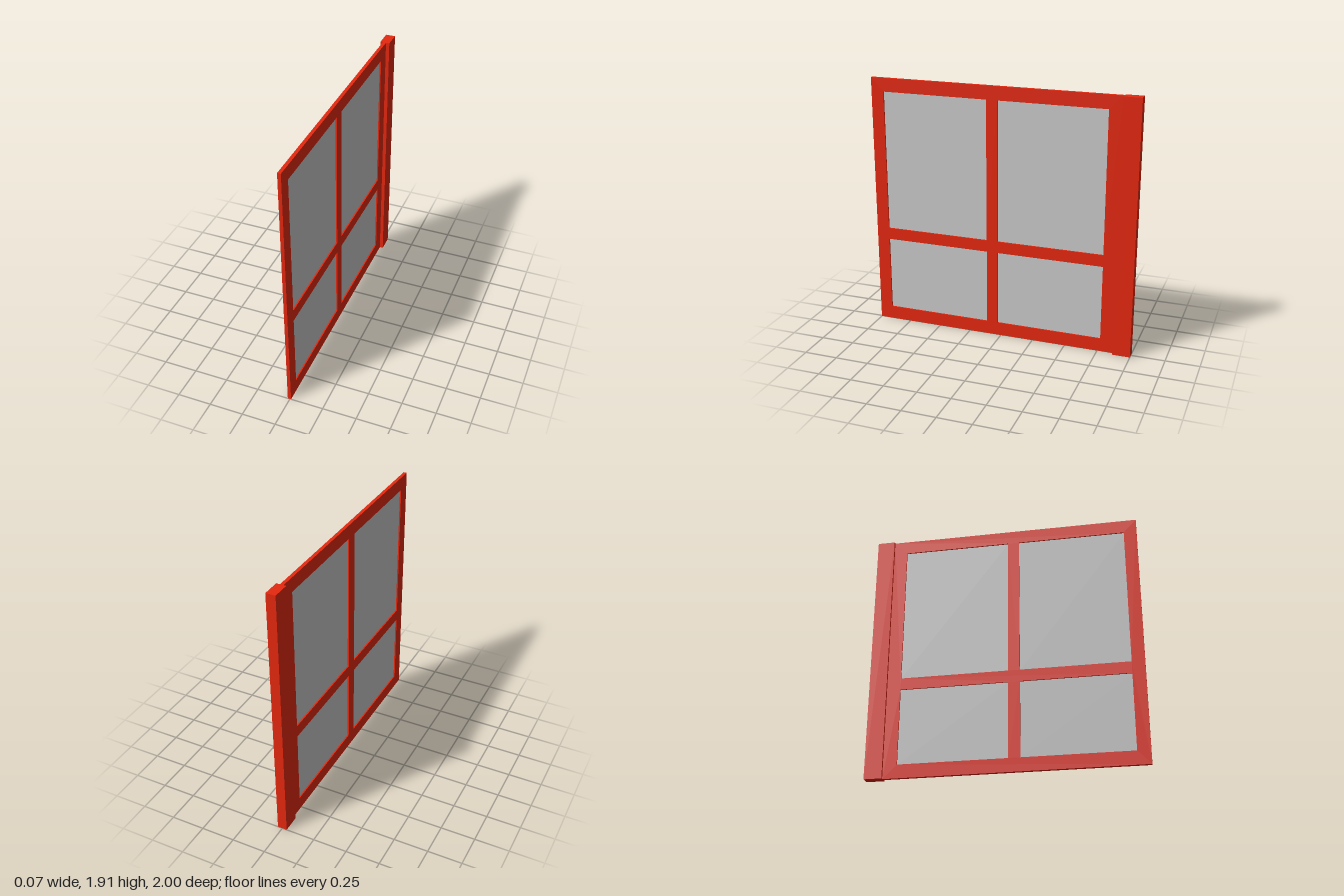
import * as THREE from 'three';

const HEIGHT = 1.91;
const FRAME_X = -0.016; // outer face of the thin frame
const FRAME_DEPTH = 0.025;

// Openings as ranges along the panel (u = -z) and in height
const COLUMNS = [[-0.905, -0.11], [-0.025, 0.77]];
const ROWS = [[0.1, 0.667], [0.755, 1.81]];

function rectangle(path, u0, u1, y0, y1) {
  path.moveTo(u0, y0);
  path.lineTo(u1, y0);
  path.lineTo(u1, y1);
  path.lineTo(u0, y1);
  path.closePath();
  return path;
}

export function createModel() {
  const model = new THREE.Group();
  model.name = 'windowPanel';
  const red = new THREE.MeshStandardMaterial({ color: 0xe6280f });
  const grey = new THREE.MeshStandardMaterial({ color: 0xcccccc });

  // Flat frame with four openings, turned to lie in the yz plane
  const outline = rectangle(new THREE.Shape(), -1, 0.87, 0, HEIGHT);
  for (const [u0, u1] of COLUMNS) {
    for (const [y0, y1] of ROWS) {
      outline.holes.push(rectangle(new THREE.Path(), u0, u1, y0, y1));

      // Thin pane set midway in the frame's depth
      const pane = new THREE.Mesh(new THREE.BoxGeometry(0.005, y1 - y0, u1 - u0), grey);
      pane.name = 'pane';
      pane.position.set(FRAME_X + FRAME_DEPTH / 2, (y0 + y1) / 2, -(u0 + u1) / 2);
      model.add(pane);
    }
  }
  const frameGeometry = new THREE.ExtrudeGeometry(outline, { depth: FRAME_DEPTH, bevelEnabled: false });
  frameGeometry.rotateY(Math.PI / 2);
  const frame = new THREE.Mesh(frameGeometry, red);
  frame.name = 'frame';
  frame.position.x = FRAME_X;
  model.add(frame);

  // Thick upright along the back edge
  const post = new THREE.Mesh(new THREE.BoxGeometry(0.07, HEIGHT, 0.13), red);
  post.name = 'post';
  post.position.set(0, HEIGHT / 2, -0.935);
  model.add(post);

  return model;
}
